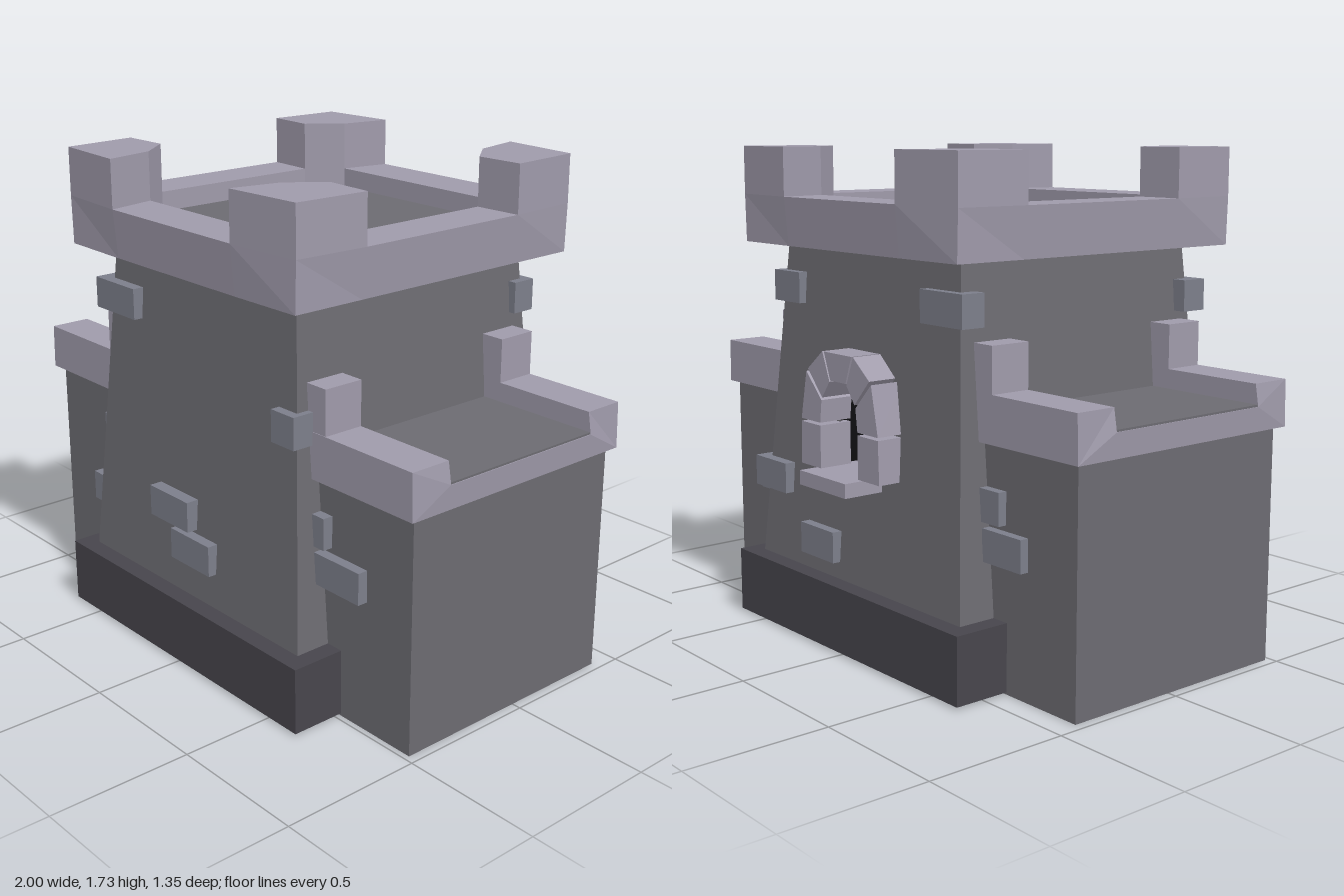
import * as THREE from 'three';

const mat = (color) => new THREE.MeshStandardMaterial({ color, flatShading: true });

export function createModel() {
  const model = new THREE.Group();
  const wallMat = mat(0x6c6b71), trimMat = mat(0x9f9aaa), baseMat = mat(0x47454c);
  const brickMat = mat(0x7c7e8a), darkMat = mat(0x0c0c0e);

  const add = (name, geo, material) => {
    const mesh = new THREE.Mesh(geo, material);
    mesh.name = name;
    model.add(mesh);
    return mesh;
  };
  // Box given by its limits on each axis
  const box = (name, material, [x0, x1], [y0, y1], [z0, z1]) => {
    const geo = new THREE.BoxGeometry(x1 - x0, y1 - y0, z1 - z0);
    return add(name, geo.translate((x0 + x1) / 2, (y0 + y1) / 2, (z0 + z1) / 2), material);
  };
  const points = (list) => list.map(([a, b]) => new THREE.Vector2(a, b));
  // Upright prism from an (x, z) outline
  const upright = (outline, y0, y1, hole) => {
    const flip = (list) => points(list.map(([x, z]) => [x, -z]));
    const shape = new THREE.Shape(flip(outline));
    if (hole) shape.holes.push(new THREE.Path(flip(hole)));
    return new THREE.ExtrudeGeometry(shape, { depth: y1 - y0, bevelEnabled: false })
      .rotateX(-Math.PI / 2).translate(0, y0, 0);
  };

  // Tapered tower, its back wall made apart so the window can be cut out
  const y0 = 0.2, y1 = 1.39;
  const lerp = (a, b, y) => a + (b - a) * (y - 0.24) / (1.39 - 0.24);
  const halfX = (y) => lerp(0.58, 0.49, y);
  const frontZ = (y) => lerp(0.61, 0.53, y);
  const backZ = (y) => lerp(-0.55, -0.47, y);
  const body = new THREE.BoxGeometry(2, y1 - y0, 2).translate(0, (y0 + y1) / 2, 0);
  body.setIndex(Array.from(body.index.array).slice(0, 30));
  body.clearGroups();
  const bp = body.attributes.position;
  for (let i = 0; i < bp.count; i++) {
    const y = bp.getY(i);
    bp.setX(i, bp.getX(i) * halfX(y));
    bp.setZ(i, bp.getZ(i) > 0 ? frontZ(y) : backZ(y));
  }
  body.computeVertexNormals();
  add('towerBody', body, wallMat);

  const wall = new THREE.Shape(points([
    [-halfX(y0), y0], [halfX(y0), y0], [halfX(y1), y1], [-halfX(y1), y1]]));
  wall.holes.push(new THREE.Path(points([
    [-0.12, 0.62], [-0.12, 0.87], [-0.06, 0.96], [0.06, 0.96], [0.12, 0.87], [0.12, 0.62]])));
  const back = new THREE.ShapeGeometry(wall).rotateY(Math.PI);
  const kp = back.attributes.position;
  for (let i = 0; i < kp.count; i++) kp.setZ(i, backZ(kp.getY(i)));
  back.computeVertexNormals();
  add('towerBackWall', back, wallMat);

  // Window recess, turned inside out
  const recess = new THREE.BoxGeometry(0.28, 0.4, 0.25).scale(-1, 1, 1);
  recess.computeVertexNormals();
  add('windowRecess', recess.translate(0, 0.79, -0.375), darkMat);

  // Window sill and arch stones
  box('windowSill', trimMat, [-0.135, 0.135], [0.59, 0.64], [-0.675, -0.42]);
  const stone = (outline) => {
    const geo = new THREE.ExtrudeGeometry(new THREE.Shape(points(outline)),
      { depth: 0.125, bevelEnabled: false });
    add('windowStone', geo.translate(0, 0, -0.605), trimMat);
  };
  const sideStones = [
    [[0.11, 0.64], [0.23, 0.64], [0.225, 0.79], [0.11, 0.79]],
    [[0.11, 0.8], [0.225, 0.8], [0.19, 0.97], [0.1, 0.88]],
    [[0.095, 0.89], [0.18, 0.98], [0.09, 1.05], [0.05, 0.95]],
  ];
  for (const s of [1, -1]) {
    for (const o of sideStones) stone(o.map(([x, y]) => [x * s, y]));
  }
  stone([[-0.045, 0.955], [0.045, 0.955], [0.08, 1.05], [-0.08, 1.05]]);

  // Base plinth with small corner feet
  box('basePlinth', baseMat, [-0.645, 0.645], [0.008, 0.24], [-0.615, 0.675]);
  for (const s of [1, -1]) {
    for (const z of [0.49, -0.42]) {
      box('baseFoot', wallMat, [s * 0.4 - 0.04, s * 0.4 + 0.04], [0, 0.06], [z - 0.05, z + 0.05]);
    }
  }

  // Crown: one quarter outline turned into rim, floor and corner merlons
  const cz = 0.027;
  const quarter = {
    outer: [[0.32, 0.625], [0.61, 0.605], [0.625, 0.337]],
    inner: [[0.355, 0.447], [0.45, 0.33]],
  };
  const corners = [[1, 1], [1, -1], [-1, -1], [-1, 1]];
  const place = (list, [sx, sz]) => list.map(([x, z]) => [x * sx, z * sz + cz]);
  const ring = (list) => corners.flatMap((c) => {
    const part = place(list, c);
    return c[0] * c[1] > 0 ? part : part.reverse();
  });
  // Pull the lower edge in to a straight rectangle
  const rim = upright(ring(quarter.outer), 1.39, 1.56, ring(quarter.inner));
  const rp = rim.attributes.position;
  for (let i = 0; i < rp.count; i++) {
    if (rp.getY(i) > 1.4) continue;
    rp.setX(i, THREE.MathUtils.clamp(rp.getX(i), -0.605, 0.605));
    rp.setZ(i, THREE.MathUtils.clamp(rp.getZ(i), cz - 0.61, cz + 0.61));
  }
  rim.computeVertexNormals();
  add('crownRim', rim, trimMat);
  add('crownFloor', upright(ring(quarter.inner), 1.385, 1.49), wallMat);
  for (const c of corners) {
    const outline = place([...quarter.outer, ...quarter.inner.slice().reverse()], c);
    add('crownMerlon', upright(outline, 1.56, 1.73), trimMat);
  }

  // Side wings with a parapet along front and back
  const section = [[0.51, 0.815], [0.51, 0.975], [0.36, 0.975], [0.36, 0.9],
    [-0.285, 0.9], [-0.285, 0.975], [-0.435, 0.975], [-0.435, 0.815]];
  for (const s of [1, -1]) {
    const span = (a, b) => (s > 0 ? [a, b] : [-b, -a]);
    box('wingWall', wallMat, span(0.4, 0.967), [0, 0.82], [-0.41, 0.48]);
    const parapet = new THREE.ExtrudeGeometry(
      new THREE.Shape(points(section.map(([z, y]) => [-z, y]))),
      { depth: 0.55, bevelEnabled: false });
    parapet.rotateY(Math.PI / 2).translate(s > 0 ? 0.445 : -0.995, 0, 0);
    // Outer ends bow out slightly in the middle of their height
    const pp = parapet.attributes.position;
    for (let i = 0; i < pp.count; i++) {
      if (Math.abs(pp.getX(i)) > 0.9) {
        const y = pp.getY(i);
        pp.setX(i, s * (y < 0.85 ? 0.992 : y < 0.95 ? 1 : 0.987));
      }
    }
    parapet.computeVertexNormals();
    add('wingParapet', parapet, trimMat);
    box('wingFloor', wallMat, span(0.45, 0.997), [0.89, 0.907], [-0.285, 0.36]);
    for (const z of [[0.36, 0.508], [-0.435, -0.285]]) {
      box('wingMerlon', trimMat, span(0.45, 0.6), [0.97, 1.13], z);
    }
  }

  // Raised bricks: x start, x end, bottom, z start, z end
  const bricks = [
    // tower front
    [-0.555, -0.325, 1.16, 0.48, 0.58], [0.43, 0.54, 0.93, 0.505, 0.588],
    [-0.19, 0.025, 0.49, 0.55, 0.632], [-0.075, 0.14, 0.365, 0.55, 0.632],
    // tower back
    [0.37, 0.53, 1.18, -0.51, -0.42], [-0.545, -0.33, 1.18, -0.51, -0.42],
    [0.4, 0.6, 0.49, -0.565, -0.475], [0.09, 0.29, 0.3, -0.575, -0.5],
    // wing fronts
    [-0.64, -0.54, 0.61, 0.45, 0.517], [-0.735, -0.585, 0.345, 0.45, 0.517],
    [0.5, 0.6, 0.59, 0.45, 0.517], [0.55, 0.765, 0.46, 0.45, 0.517],
    // wing backs
    [-0.64, -0.54, 0.56, -0.442, -0.38], [-0.745, -0.56, 0.43, -0.442, -0.38],
    [0.55, 0.765, 0.43, -0.442, -0.38],
  ];
  for (const [xa, xb, y, za, zb] of bricks) {
    box('raisedBrick', brickMat, [xa, xb], [y, y + 0.11], [za, zb]);
  }
  return model;
}
